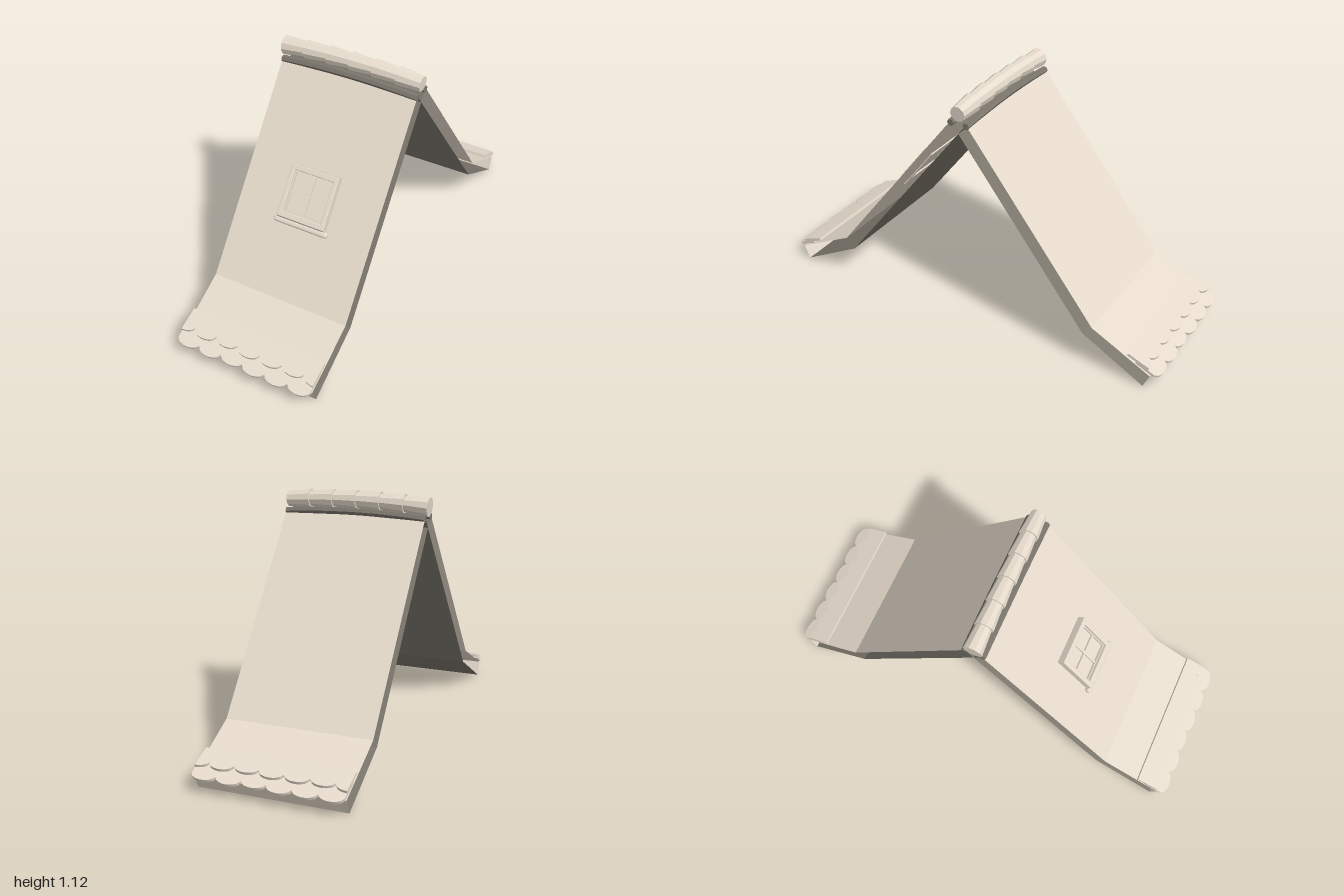
import * as THREE from 'three';
import { RoundedBoxGeometry } from 'three/addons/geometries/RoundedBoxGeometry.js';

const HALF = 0.338; // half the roof width

function material(name, color) {
  const m = new THREE.MeshStandardMaterial({ color, flatShading: true, side: THREE.DoubleSide });
  m.name = name;
  return m;
}
const beige = material('warm beige', 0xe6dbcc);
const dark = material('dark taupe', 0x7c776d);

function add(parent, name, geometry, x = 0, y = 0, z = 0, mat = beige) {
  const mesh = new THREE.Mesh(geometry, mat);
  mesh.name = name;
  mesh.position.set(x, y, z);
  parent.add(mesh);
  return mesh;
}

// Thin sheet as wide as the roof, following a [z, y] line from top to bottom
function sheetGeometry(line) {
  const geometry = new THREE.PlaneGeometry(2 * HALF, 1, 1, line.length - 1);
  const pos = geometry.attributes.position;
  line.forEach(([z, y], i) => {
    for (const k of [2 * i, 2 * i + 1]) pos.setXYZ(k, pos.getX(k), y, z);
  });
  geometry.computeVertexNormals();
  return geometry;
}

// Round-ended tile, clipped to the roof width
function tileGeometry(centre, width, length, thick) {
  const x0 = Math.max(centre - width / 2, -HALF);
  const x1 = Math.min(centre + width / 2, HALF);
  const shape = new THREE.Shape();
  shape.moveTo(x1, 0);
  shape.lineTo(x0, 0);
  const steps = 10;
  for (let i = 0; i <= steps; i++) {
    const x = x0 + (x1 - x0) * i / steps;
    const t = Math.min(1, Math.abs(x - centre) / (width / 2));
    shape.lineTo(x, -length + 0.032 * (1 - Math.sqrt(1 - t * t * 0.98)));
  }
  return new THREE.ExtrudeGeometry(shape, { depth: thick, bevelEnabled: false });
}

// Row of tiles hanging down from its upper edge at (y, z)
function tileRow(name, first, count, length, pitch, y, z) {
  const row = new THREE.Group();
  row.name = name;
  const width = 2 * HALF / 6;
  for (let i = 0; i < count; i++) {
    const wobble = 0.003 * Math.sin(i * 2.3);
    add(row, 'eaveTile', tileGeometry(first + i * width, width, length + wobble, 0.013));
  }
  row.rotation.x = pitch - Math.PI / 2;
  row.position.set(0, y, z);
  return row;
}

function roofSide(name) {
  const side = new THREE.Group();
  side.name = name;
  // Open-sided roof: outer sheet, dark lining and eave board
  add(side, 'outerSheet', sheetGeometry([[0.035, 1.03], [0.672, 0.21], [0.957, 0.066]]));
  add(side, 'lining', sheetGeometry([[-0.04, 1.025], [0.628, 0.163], [0.928, 0]]), 0, 0, 0, dark);
  add(side, 'eaveBoard', sheetGeometry([[0.957, 0.066], [0.928, 0]]));
  side.add(tileRow('lowerTileRow', -HALF * 5 / 6, 6, 0.121, 0.42, 0.108, 0.885));
  side.add(tileRow('upperTileRow', -HALF, 7, 0.108, 0.36, 0.133, 0.845));

  // Arched dark roll under the ridge tiles
  const points = [];
  for (let i = 0; i <= 8; i++) {
    const x = HALF * (i / 4 - 1);
    points.push(new THREE.Vector3(x, 1.032 - 0.13 * x * x, 0.039));
  }
  const path = new THREE.CatmullRomCurve3(points);
  add(side, 'ridgeRoll', new THREE.TubeGeometry(path, 16, 0.017, 6), 0, 0, 0, dark);
  for (const s of [-1, 1]) {
    const end = points[s < 0 ? 0 : 8];
    const cap = add(side, 'ridgeRollEnd', new THREE.CircleGeometry(0.017, 6), end.x, end.y, end.z, dark);
    cap.rotation.y = s * Math.PI / 2;
  }
  return side;
}

function rectPath(PathType, w, h) {
  const p = new PathType();
  p.moveTo(-w, -h);
  p.lineTo(w, -h);
  p.lineTo(w, h);
  p.lineTo(-w, h);
  p.closePath();
  return p;
}

// Skylight: local y runs up the slope, local z points out of the roof
function skylight() {
  const win = new THREE.Group();
  win.name = 'window';
  const frame = rectPath(THREE.Shape, 0.115, 0.118);
  frame.holes.push(rectPath(THREE.Path, 0.1, 0.099));
  add(win, 'windowFrame', new THREE.ExtrudeGeometry(frame, {
    depth: 0.036, bevelThickness: 0.004, bevelSize: 0.004, bevelSegments: 2,
  }), 0, 0, -0.003);
  const sash = rectPath(THREE.Shape, 0.1, 0.1);
  sash.holes.push(rectPath(THREE.Path, 0.091, 0.09));
  add(win, 'sash', new THREE.ExtrudeGeometry(sash, { depth: 0.022, bevelEnabled: false }));
  add(win, 'pane', new THREE.BoxGeometry(0.2, 0.2, 0.008), 0, 0, 0.006);
  add(win, 'uprightBar', new THREE.BoxGeometry(0.012, 0.19, 0.012), 0, 0, 0.013);
  add(win, 'crossBar', new THREE.BoxGeometry(0.19, 0.012, 0.012), 0, 0, 0.013);
  add(win, 'frameFoot', new THREE.BoxGeometry(0.232, 0.004, 0.034), 0, -0.123, 0.014, dark);
  add(win, 'windowSill', new RoundedBoxGeometry(0.272, 0.027, 0.028, 3, 0.011), 0, -0.137, 0.01);
  win.rotation.x = -0.657;
  win.position.set(0, 0.585, 0.381);
  return win;
}

// Overlapping tapered tiles following the arched ridge
function ridge() {
  const group = new THREE.Group();
  group.name = 'ridge';
  const arch = (x) => new THREE.Vector3(x, 1.081 - 0.118 * x * x, 0);
  const up = new THREE.Vector3(0, 1, 0);
  const step = 0.687 / 6;
  for (let i = 0; i < 6; i++) {
    const a = arch(-0.345 + i * step);
    const b = arch(-0.345 + (i + 1) * step + (i < 5 ? 0.008 : 0));
    const dir = b.clone().sub(a);
    const tile = add(group, 'ridgeTile', new THREE.CylinderGeometry(0.036, 0.045, dir.length(), 10));
    tile.position.copy(a).add(b).multiplyScalar(0.5);
    tile.quaternion.setFromUnitVectors(up, dir.normalize());
  }
  return group;
}

export function createModel() {
  const model = new THREE.Group();
  model.name = 'roof';
  const front = roofSide('frontRoof');
  front.add(skylight());
  const back = roofSide('backRoof');
  back.rotation.y = Math.PI;
  model.add(front, back, ridge());
  return model;
}
